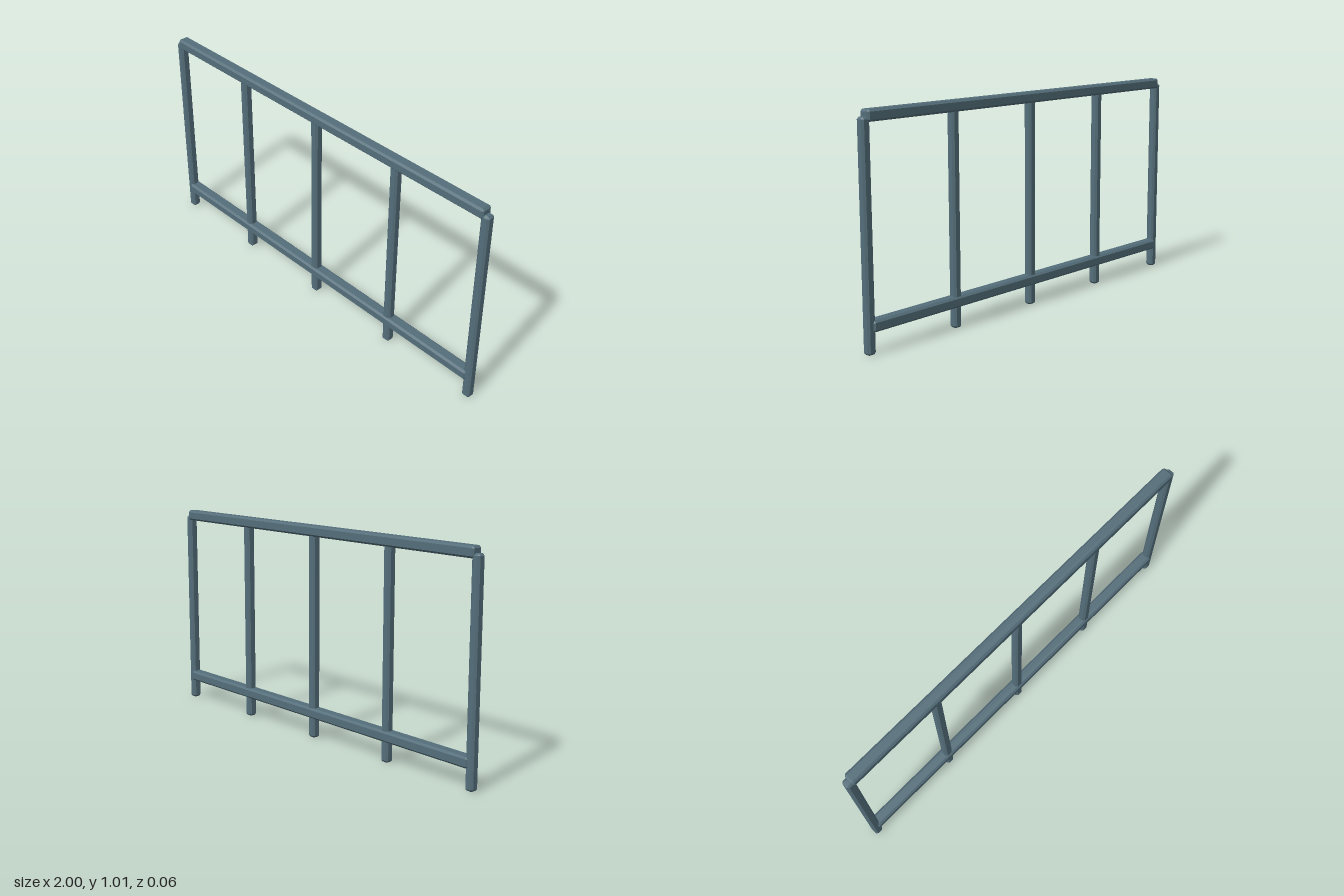
import * as THREE from 'three';
import { ConvexGeometry } from 'three/addons/geometries/ConvexGeometry.js';

// Box with every edge chamfered by c: each corner becomes three points
function chamferedBox(w, h, d, c) {
  const points = [];
  for (const sx of [-1, 1]) for (const sy of [-1, 1]) for (const sz of [-1, 1]) {
    const x = w / 2, y = h / 2, z = d / 2;
    points.push(
      new THREE.Vector3(sx * x, sy * (y - c), sz * (z - c)),
      new THREE.Vector3(sx * (x - c), sy * y, sz * (z - c)),
      new THREE.Vector3(sx * (x - c), sy * (y - c), sz * z),
    );
  }
  return new ConvexGeometry(points);
}

export function createModel() {
  const model = new THREE.Group();
  model.name = 'railing';
  const metal = new THREE.MeshStandardMaterial({ color: 0x546e7a, flatShading: true });

  const add = (name, geometry, x, y) => {
    const mesh = new THREE.Mesh(geometry, metal);
    mesh.name = name;
    mesh.position.set(x, y, 0);
    model.add(mesh);
  };

  // Five evenly spaced upright posts
  const postHeight = 0.977;
  const post = chamferedBox(0.042, postHeight, 0.042, 0.009);
  for (let i = -2; i <= 2; i++) add(`post${i + 3}`, post, i * 0.4895, postHeight / 2);

  // Handrail and lower rail, slightly thicker than the posts
  const rail = chamferedBox(1.95, 0.05, 0.056, 0.009);
  add('topRail', rail, 0, 0.981);
  add('bottomRail', rail, 0, 0.12);

  return model;
}
